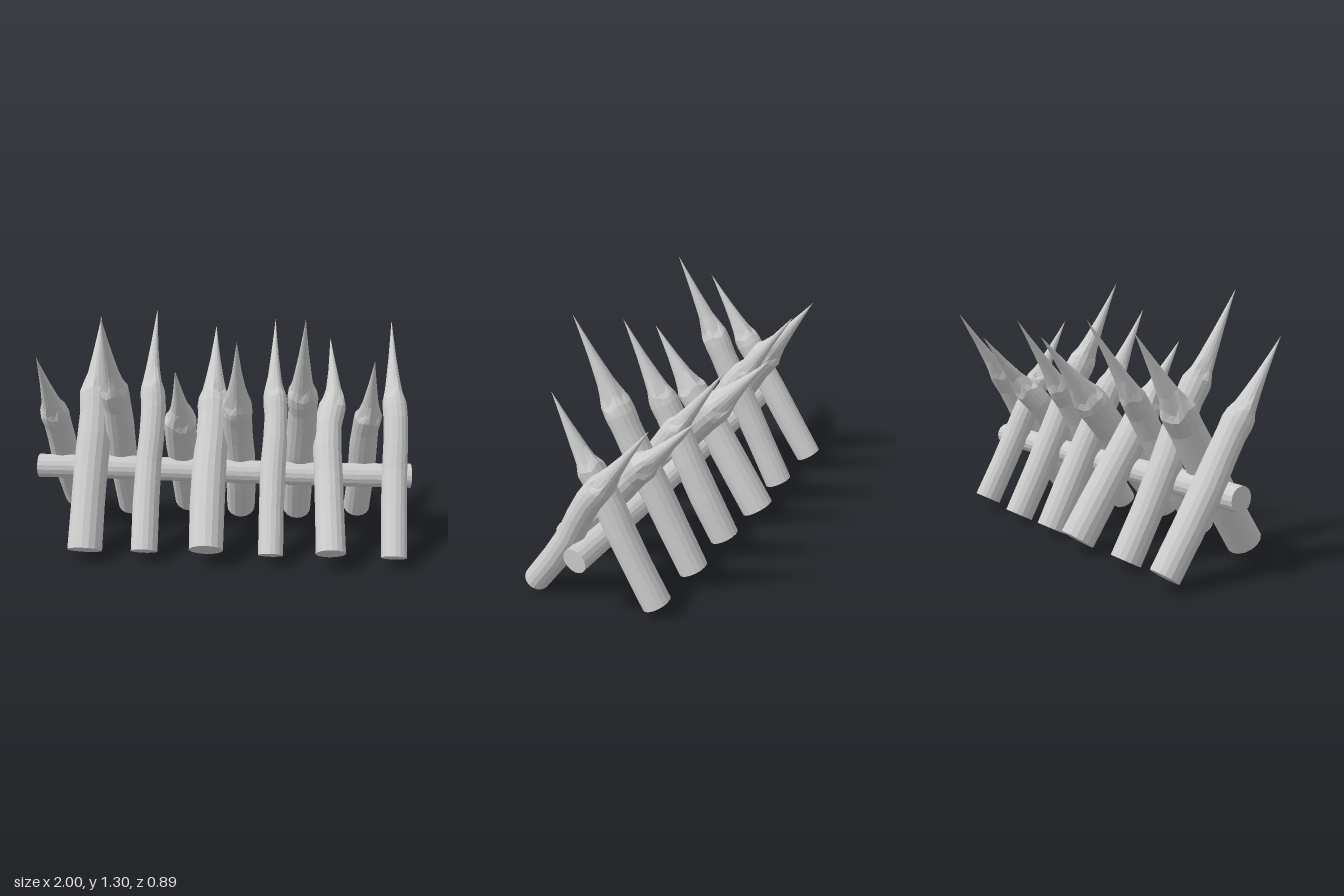
import * as THREE from 'three';

const SIDES = 16;
const material = new THREE.MeshStandardMaterial({ color: 0xcccccc, flatShading: true });

// Side profile of a stake: [fraction of length, radius factor, chipped edge depth]
const STAKE = [
  [0, 1, 0], [0.15, 1.01, 0], [0.3, 1.01, 0], [0.42, 0.98, 0], [0.54, 0.95, 0],
  [0.63, 0.98, 0], [0.685, 0.95, 0.012], [0.735, 0.74, 0.022], [0.79, 0.56, 0.006],
  [0.87, 0.32, 0], [0.94, 0.14, 0], [1, 0, 0],
];
const LOG = [0, 0.25, 0.5, 0.75, 1].map((t) => [t, 1, 0]);

// Skins a log along a curve with rings; the start is capped, the end is a cap or a point
function logGeometry(curve, radius, profile, side, seed = 0) {
  const pos = [], index = [];
  const rings = profile.length;
  profile.forEach(([t, k, chip], i) => {
    const T = curve.getTangent(t);
    const U = side.clone().addScaledVector(T, -side.dot(T)).normalize();
    const V = T.clone().cross(U);
    const centre = curve.getPoint(t);
    const r = radius * k * (1 + 0.02 * Math.sin(seed * 2.3 + i * 1.9));
    for (let j = 0; j < SIDES; j++) {
      const a = (j / SIDES) * Math.PI * 2;
      // uneven edge where the point has been carved
      const cut = chip * (Math.sin(a * 4 + seed * 1.7) + 0.6 * Math.sin(a * 2 + seed));
      const p = centre.clone()
        .addScaledVector(U, Math.cos(a) * r)
        .addScaledVector(V, Math.sin(a) * r)
        .addScaledVector(T, cut);
      pos.push(p.x, p.y, p.z);
    }
  });
  const first = pos.length / 3, last = first + 1;
  pos.push(...curve.getPoint(0).toArray(), ...curve.getPoint(1).toArray());
  const pointed = profile[rings - 1][1] === 0;
  const top = (rings - 1) * SIDES;
  for (let j = 0; j < SIDES; j++) {
    const n = (j + 1) % SIDES;
    index.push(first, n, j);
    for (let i = 0; i < rings - 1; i++) {
      const a = i * SIDES + j, b = i * SIDES + n;
      if (pointed && i === rings - 2) index.push(a, b, last);
      else index.push(a, b, b + SIDES, a, b + SIDES, a + SIDES);
    }
    if (!pointed) index.push(last, top + j, top + n);
  }
  const geometry = new THREE.BufferGeometry();
  geometry.setAttribute('position', new THREE.Float32BufferAttribute(pos, 3));
  geometry.setIndex(index);
  geometry.computeVertexNormals();
  return geometry;
}

// [x, radius, base y, base z, tip y, tip z, sideways bend at 0.3 / 0.55 / 0.7, depth bend]
const BACKWARD = [
  [-0.70, 0.090, 0.06, 0.335, 1.14, -0.38, 0.00, 0.01, 0.00, 0.015],
  [-0.39, 0.069, 0.06, 0.33, 1.18, -0.41, -0.005, 0.012, -0.005, 0.02],
  [-0.065, 0.089, 0.10, 0.375, 1.08, -0.45, -0.005, 0.008, 0.005, 0.01],
  [0.265, 0.065, 0.06, 0.335, 1.14, -0.38, 0.00, 0.014, 0.002, 0.015],
  [0.57, 0.075, 0.10, 0.377, 1.03, -0.41, -0.01, -0.018, 0.014, 0.015],
  [0.895, 0.066, 0.06, 0.325, 1.14, -0.38, 0.006, 0.014, 0.004, 0.03],
];
const FORWARD = [
  [-0.88, 0.075, 0.07, -0.346, 1.10, 0.36, 0.00, 0.006, 0.004, 0.01],
  [-0.553, 0.077, 0.045, -0.305, 1.31, 0.385, -0.005, 0.008, 0.00, 0.01],
  [-0.213, 0.088, 0.072, -0.344, 1.03, 0.32, -0.005, -0.01, 0.00, 0.00],
  [0.085, 0.080, 0.047, -0.30, 1.18, 0.32, 0.005, -0.008, -0.006, 0.01],
  [0.408, 0.079, 0.047, -0.30, 1.31, 0.385, 0.00, 0.008, 0.00, 0.01],
  [0.75, 0.073, 0.068, -0.30, 1.08, 0.26, 0.00, -0.006, 0.004, 0.01],
];

function stake([x, r, y0, z0, y1, z1, b1, b2, b3, depth], seed) {
  const out = Math.sign(z0);
  const at = (t, bend, d) => new THREE.Vector3(
    x + bend, THREE.MathUtils.lerp(y0, y1, t), THREE.MathUtils.lerp(z0, z1, t) + d * out);
  const curve = new THREE.CatmullRomCurve3([
    at(0, 0, 0), at(0.3, b1, -depth * 0.3), at(0.55, b2, depth), at(0.7, b3, depth * 0.7), at(1, 0, 0),
  ]);
  return logGeometry(curve, r, STAKE, new THREE.Vector3(1, 0, 0), seed);
}

export function createModel() {
  const group = new THREE.Group();
  const add = (name, geometry) => {
    const mesh = new THREE.Mesh(geometry, material);
    mesh.name = name;
    group.add(mesh);
  };

  // Crossing rows of sharpened stakes
  BACKWARD.forEach((s, i) => add(`backwardStake${i + 1}`, stake(s, i * 2 + 1)));
  FORWARD.forEach((s, i) => add(`forwardStake${i + 1}`, stake(s, i * 2 + 2)));

  // Slightly crooked rail that ties the stakes together
  const rail = new THREE.CatmullRomCurve3([
    new THREE.Vector3(-1, 0.392, 0), new THREE.Vector3(-0.4, 0.39, -0.005),
    new THREE.Vector3(0.3, 0.375, -0.01), new THREE.Vector3(1, 0.377, -0.013),
  ]);
  add('rail', logGeometry(rail, 0.063, LOG, new THREE.Vector3(0, 1, 0)));

  return group;
}
